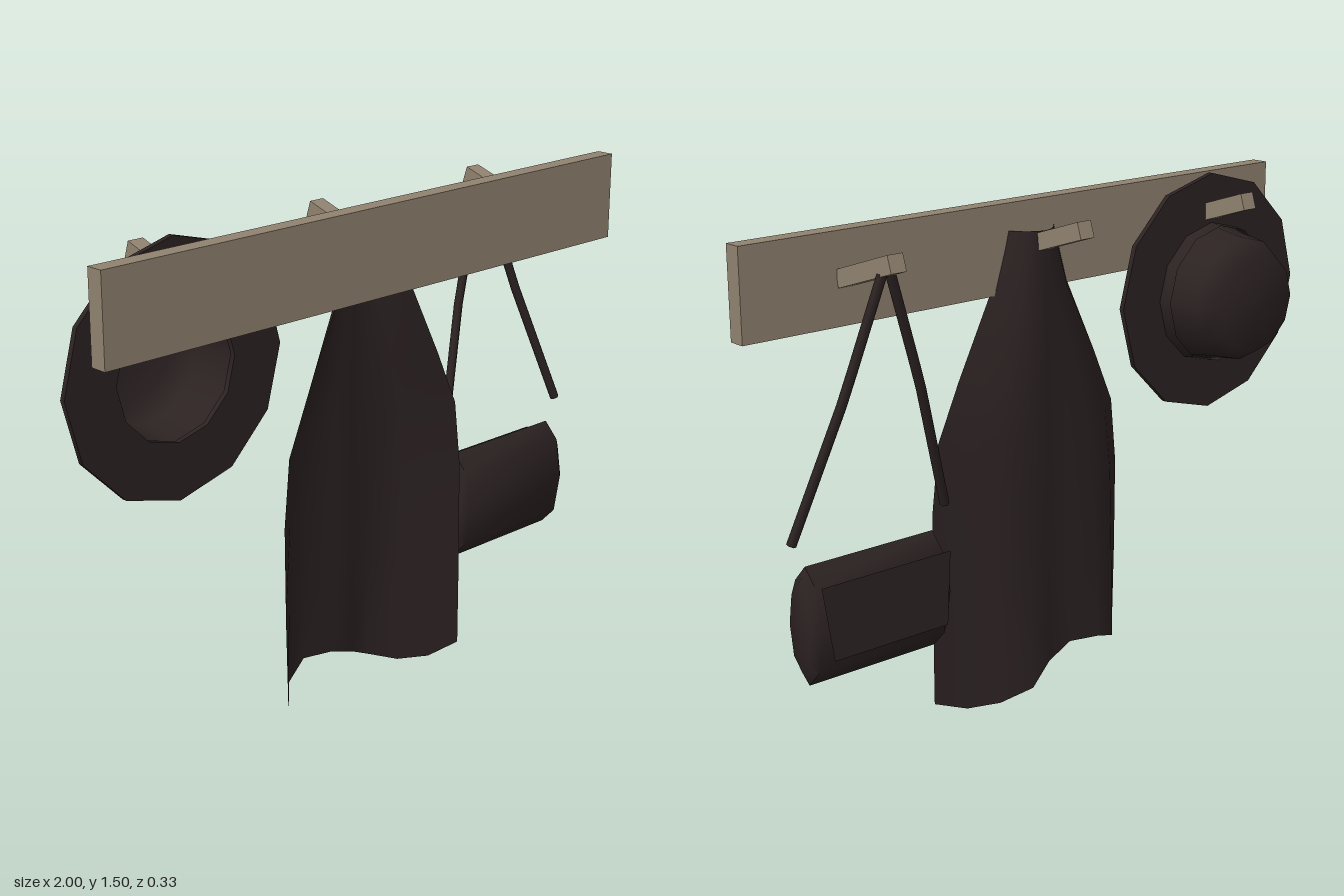
import * as THREE from 'three';
import { toCreasedNormals } from 'three/addons/utils/BufferGeometryUtils.js';

const wood = new THREE.MeshStandardMaterial({ color: 0x918370 });
wood.name = 'weathered wood';
const dark = new THREE.MeshStandardMaterial({ color: 0x2c2222, side: THREE.DoubleSide });
dark.name = 'dark cloth and leather';

function add(parent, name, geometry, material, x = 0, y = 0, z = 0) {
  const mesh = new THREE.Mesh(geometry, material);
  mesh.name = name;
  mesh.position.set(x, y, z);
  parent.add(mesh);
  return mesh;
}

function lathe(points, sides) {
  return new THREE.LatheGeometry(points.map(([r, h]) => new THREE.Vector2(r, h)), sides);
}

// Open grid surface from rows of points
function gridSurface(rows) {
  const cols = rows[0].length;
  const index = [];
  for (let i = 0; i < rows.length - 1; i++) {
    for (let j = 0; j < cols - 1; j++) {
      const a = i * cols + j, b = a + 1, c = a + cols, d = c + 1;
      index.push(a, b, c, b, d, c);
    }
  }
  const geometry = new THREE.BufferGeometry();
  geometry.setAttribute('position', new THREE.Float32BufferAttribute(rows.flat(2), 3));
  geometry.setIndex(index);
  geometry.computeVertexNormals();
  return geometry;
}

// Draped cloak: a narrow arc at the neck opening into deep folds at a wavy hem
function cloakGeometry() {
  const hemY = [0.055, 0.095, 0.13, 0.13, 0.095, 0.045, 0.01, 0.005, 0.035];
  const hemZ = [0.155, 0.055, 0.02, 0.045, 0.035, 0.003, 0.045, 0.088, 0.125];
  const levels = [[1.41, 0.09], [1.23, 0.15], [1.0, 0.265], [0.83, 0.342], [0.63, 0.366], [0.35, 0.37], [0, 0.37]];
  const rows = levels.map(([y, half], i) => {
    const t = 1 - y / 1.41;
    return hemY.map((hem, j) => {
      const u = j / 4 - 1;
      const neckZ = 0.115 - 0.068 * Math.cos(u * Math.PI / 2);
      const z = THREE.MathUtils.lerp(neckZ, hemZ[j], Math.pow(t, 0.7));
      return [0.02 + half * u, i === levels.length - 1 ? hem : y, z];
    });
  });
  return gridSurface(rows);
}

export function createModel() {
  const model = new THREE.Group();
  model.name = 'coatRack';

  // Backboard and three tilted pegs
  add(model, 'backboard', new THREE.BoxGeometry(1.955, 0.26, 0.053), wood, 0.022, 1.36, 0.135);
  for (const x of [-0.632, 0.02, 0.672]) {
    const peg = add(model, 'peg', new THREE.BoxGeometry(0.05, 0.05, 0.245), wood, x, 1.398, -0.005);
    peg.rotation.x = 0.315;
  }

  add(model, 'cloak', cloakGeometry(), dark);

  // Hat facing away from the board
  const hat = new THREE.Group();
  hat.name = 'hat';
  hat.position.set(-0.635, 1.135, 0);
  hat.rotation.x = -Math.PI / 2;
  model.add(hat);
  const brim = lathe([[0.2, -0.047], [0.365, -0.047], [0.365, -0.03], [0.2, -0.03], [0.2, -0.047]], 12);
  add(hat, 'hatBrim', toCreasedNormals(brim, 0.8), dark);
  add(hat, 'hatBand', lathe([[0.215, 0.03], [0.21, -0.01]].map(([r, h]) => [r, -h]), 12), dark);
  add(hat, 'hatCrown', lathe([[0.212, -0.04], [0.2, 0.01], [0.188, 0.1], [0.152, 0.162], [0, 0.167]], 12), dark);

  // Satchel body: a flattened eight-sided barrel lying along x
  const satchel = new THREE.Group();
  satchel.name = 'satchel';
  model.add(satchel);
  const body = lathe([[0, -0.238], [0.125, -0.238], [0.1725, -0.215], [0.1725, 0.215], [0.125, 0.238], [0, 0.238]], 8);
  body.rotateZ(Math.PI / 2);
  body.scale(1, 1, 0.39);
  add(satchel, 'satchelBody', toCreasedNormals(body, 0.9), dark, 0.673, 0.4475, 0.033);

  // Flap on the outer face
  add(satchel, 'satchelFlap', gridSurface([
    [[0.455, 0.58, -0.045], [0.89, 0.58, -0.045]],
    [[0.48, 0.37, -0.06], [0.866, 0.37, -0.06]],
  ]), dark);

  // Strap halves meeting over the peg
  for (const side of [-1, 1]) {
    const path = new THREE.CurvePath();
    const p = [[0.258, 0.69, 0.03], [0.125, 1.08, -0.043], [0, 1.44, -0.078]]
      .map(([x, y, z]) => new THREE.Vector3(0.672 + side * x, y, z));
    path.add(new THREE.LineCurve3(p[0], p[1]));
    path.add(new THREE.LineCurve3(p[1], p[2]));
    add(satchel, 'satchelStrap', new THREE.TubeGeometry(path, 8, 0.014, 6), dark);
  }

  return model;
}
